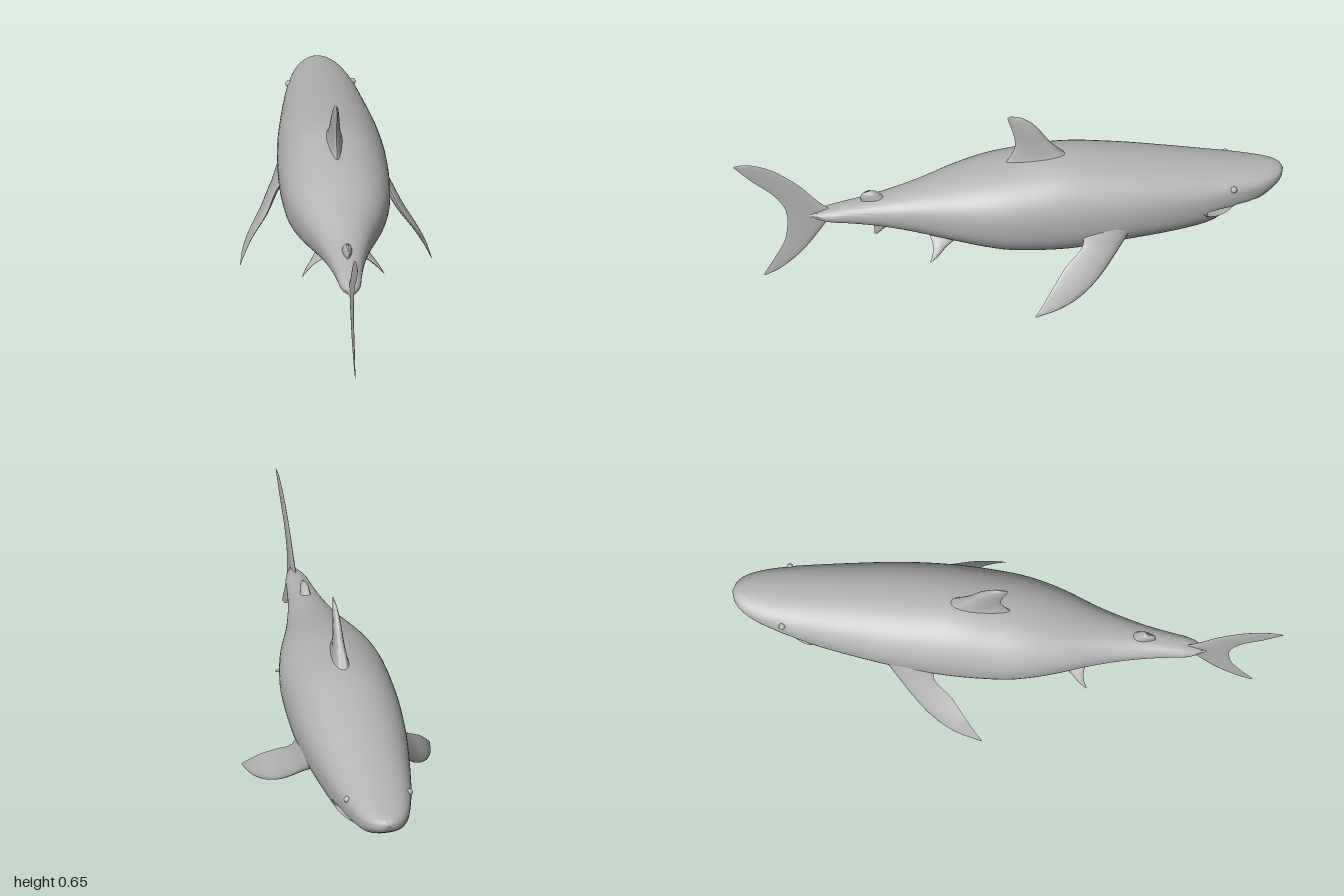
import * as THREE from 'three';
import { toCreasedNormals } from 'three/addons/utils/BufferGeometryUtils.js';

const skin = new THREE.MeshStandardMaterial({ color: 0xb4b4b4, side: THREE.DoubleSide });
skin.name = 'greySkin';

// Body stations from snout to tail: z, top, bottom, widest height, half width
const STATIONS = [
  [-1, 0.322, 0.316, 0.319, 0.003], [-0.99, 0.335, 0.293, 0.314, 0.034], [-0.96, 0.344, 0.267, 0.31, 0.066],
  [-0.9, 0.355, 0.225, 0.305, 0.095], [-0.8, 0.373, 0.185, 0.3, 0.123], [-0.74, 0.384, 0.157, 0.295, 0.136],
  [-0.6, 0.411, 0.135, 0.29, 0.16], [-0.4, 0.446, 0.123, 0.29, 0.187], [-0.2, 0.47, 0.108, 0.29, 0.198],
  [0, 0.452, 0.12, 0.295, 0.192], [0.1, 0.435, 0.14, 0.3, 0.176], [0.2, 0.41, 0.167, 0.3, 0.148],
  [0.3, 0.382, 0.193, 0.295, 0.112], [0.4, 0.357, 0.219, 0.293, 0.083], [0.5, 0.338, 0.24, 0.29, 0.06],
  [0.6, 0.322, 0.255, 0.29, 0.044], [0.66, 0.31, 0.263, 0.288, 0.035], [0.73, 0.291, 0.285, 0.288, 0.003],
];

// Smooth interpolation of a station column at z
function at(z, k) {
  const n = STATIONS.length;
  let i = 0;
  while (i < n - 2 && z > STATIONS[i + 1][0]) i++;
  const slope = (j) => {
    const a = STATIONS[Math.max(j - 1, 0)], b = STATIONS[Math.min(j + 1, n - 1)];
    return (b[k] - a[k]) / (b[0] - a[0]);
  };
  const p = STATIONS[i], q = STATIONS[i + 1], h = q[0] - p[0], t = (z - p[0]) / h;
  const t2 = t * t, t3 = t2 * t;
  return (2 * t3 - 3 * t2 + 1) * p[k] + (t3 - 2 * t2 + t) * h * slope(i)
    + (3 * t2 - 2 * t3) * q[k] + (t3 - t2) * h * slope(i + 1);
}

// Skin a list of closed rings of [x, y, z] points
function loft(rings, crease = 0.8) {
  const m = rings[0].length, index = [];
  for (let i = 0; i < rings.length - 1; i++) {
    for (let j = 0; j < m; j++) {
      const a = i * m + j, b = i * m + (j + 1) % m;
      index.push(a, b, b + m, a, b + m, a + m);
    }
  }
  const geo = new THREE.BufferGeometry();
  geo.setAttribute('position', new THREE.Float32BufferAttribute(rings.flat(2), 3));
  geo.setIndex(index);
  return toCreasedNormals(geo, crease);
}

// Body cross-section at z; clip reshapes each height to open the mouth
function section(z, scale, clip) {
  const top = at(z, 1), bottom = at(z, 2), mid = at(z, 3), w = at(z, 4) * scale;
  const ring = [];
  for (let j = 0; j < 56; j++) {
    const a = (j / 56) * Math.PI * 2, c = Math.cos(a), s = Math.sin(a);
    const e = s > 0 ? 0.95 : 0.8;
    const u = Math.sign(c) * Math.abs(c) ** e;
    const v = Math.abs(s) ** e;
    const y = s > 0 ? mid + (top - mid) * v : mid - (mid - bottom) * v;
    ring.push([w * u, clip(y, u), z]);
  }
  return ring;
}

function bodyGeometry() {
  const zs = [-0.712, -0.704];
  for (let i = 0; i <= 80; i++) zs.push(-1 + 1.73 * (i / 80) ** 1.4);
  zs.sort((a, b) => a - b);
  return loft(zs.map((z) => {
    // Arched mouth roof ahead of the mouth corner
    const clip = (y, u) => {
      if (z > -0.71) return y;
      const depth = 0.025 * Math.min(1, Math.max(0, (z + 0.95) / 0.1));
      return Math.max(y, 0.25 + depth * (1 - u * u));
    };
    return section(z, 1, clip);
  }));
}

function jawGeometry() {
  const rings = [];
  for (let i = 0; i <= 18; i++) {
    const t = i / 18, z = -0.832 + 0.142 * (1 - (1 - t) ** 1.6);
    const scale = 0.995 * Math.sqrt(Math.max(0.0004, 1 - (1 - t) ** 3.2));
    const rim = 0.212 + 0.04 * t * t;
    rings.push(section(z, scale, (y, u) => {
      const lip = rim - 0.02 * t * (1 - u * u);
      return Math.min(i === 0 ? Math.max(y, rim - 0.008) : y, lip);
    }));
  }
  return loft(rings);
}

// Fin from rows of [leading point, trailing point, half thickness], root to tip
function finGeometry(rows) {
  const curve = (pts) => new THREE.CatmullRomCurve3(pts, false, 'centripetal');
  const vec = (p) => new THREE.Vector3(...p);
  const lead = rows.map((r) => vec(r[0])), trail = rows.map((r) => vec(r[1]));
  const leadCurve = curve(lead), trailCurve = curve(trail);
  const span = lead.at(-1).clone().add(trail.at(-1)).sub(lead[0]).sub(trail[0]);
  const normal = span.cross(trail[0].clone().sub(lead[0])).normalize();
  const rings = [], steps = 20;
  for (let i = 0; i <= steps; i++) {
    const t = i / steps, f = t * (rows.length - 1);
    const k = Math.min(Math.floor(f), rows.length - 2);
    const half = THREE.MathUtils.lerp(rows[k][2], rows[k + 1][2], f - k);
    const l = leadCurve.getPoint(t), r = trailCurve.getPoint(t), ring = [];
    for (let j = 0; j < 20; j++) {
      const a = (j / 20) * Math.PI * 2, c = 0.5 + 0.5 * Math.cos(a);
      const p = l.clone().lerp(r, c).addScaledVector(normal, half * Math.sin(a) * (1.35 - 0.8 * c));
      ring.push(p.toArray());
    }
    rings.push(ring);
  }
  return loft(rings, 1.2);
}

// Fin on the centre plane: rows of [leadY, leadZ, trailY, trailZ, half thickness]
const midFin = (rows) => finGeometry(rows.map(([ly, lz, ty, tz, h]) => [[0, ly, lz], [0, ty, tz], h]));

export function createModel() {
  const group = new THREE.Group();
  const add = (name, geo, mirror = false) => {
    const mesh = new THREE.Mesh(geo, skin);
    mesh.name = name;
    if (mirror) mesh.scale.x = -1;
    group.add(mesh);
    return mesh;
  };
  const pair = (name, geo) => {
    add(name + 'Left', geo);
    add(name + 'Right', geo, true);
  };

  add('body', bodyGeometry());
  add('lowerJaw', jawGeometry());

  // Fins on the centre line
  add('dorsalFin', midFin([
    [0.43, -0.25, 0.42, 0.03, 0.042], [0.478, -0.2, 0.475, -0.008, 0.024], [0.53, -0.15, 0.515, -0.025, 0.018],
    [0.597, -0.105, 0.57, -0.02, 0.013], [0.64, -0.055, 0.625, -0.004, 0.007], [0.654, -0.012, 0.647, 0.002, 0.001],
  ]));
  add('secondDorsalFin', midFin([
    [0.32, 0.41, 0.31, 0.53, 0.022], [0.346, 0.455, 0.335, 0.535, 0.018],
    [0.365, 0.477, 0.355, 0.535, 0.014], [0.376, 0.502, 0.368, 0.526, 0.003],
  ]));
  add('analFin', midFin([
    [0.25, 0.4, 0.25, 0.5, 0.012], [0.215, 0.435, 0.215, 0.487, 0.008], [0.178, 0.475, 0.179, 0.485, 0.001],
  ]));
  add('upperTailLobe', midFin([
    [0.3, 0.64, 0.27, 0.8, 0.006], [0.355, 0.7, 0.325, 0.812, 0.005], [0.42, 0.757, 0.385, 0.85, 0.004],
    [0.505, 0.865, 0.46, 0.933, 0.003], [0.537, 0.955, 0.513, 0.984, 0.002], [0.534, 0.997, 0.53, 1, 0.001],
  ]));
  add('lowerTailLobe', midFin([
    [0.285, 0.64, 0.3, 0.8, 0.006], [0.21, 0.688, 0.19, 0.81, 0.005], [0.126, 0.752, 0.105, 0.85, 0.004],
    [0.06, 0.827, 0.052, 0.88, 0.002], [0.035, 0.88, 0.034, 0.888, 0.001],
  ]));

  // Paired fins
  pair('pectoralFin', finGeometry([
    [[0.15, 0.22, -0.43], [0.165, 0.25, -0.24], 0.035], [[0.195, 0.165, -0.375], [0.2, 0.2, -0.245], 0.018],
    [[0.25, 0.09, -0.3], [0.243, 0.137, -0.175], 0.014], [[0.3, 0.042, -0.22], [0.298, 0.078, -0.115], 0.009],
    [[0.33, 0.016, -0.14], [0.327, 0.034, -0.078], 0.005], [[0.345, 0, -0.055], [0.346, 0.002, -0.05], 0.001],
  ]));
  pair('pelvicFin', finGeometry([
    [[0.06, 0.21, 0.15], [0.06, 0.215, 0.3], 0.014], [[0.105, 0.175, 0.235], [0.1, 0.185, 0.288], 0.009],
    [[0.132, 0.152, 0.272], [0.13, 0.158, 0.293], 0.005], [[0.148, 0.139, 0.3], [0.147, 0.14, 0.304], 0.001],
  ]));

  // Eyes
  for (const side of [1, -1]) {
    const eye = add(side > 0 ? 'eyeLeft' : 'eyeRight', new THREE.SphereGeometry(0.012, 20, 14));
    eye.position.set(side * 0.115, 0.324, -0.806);
  }
  return group;
}
